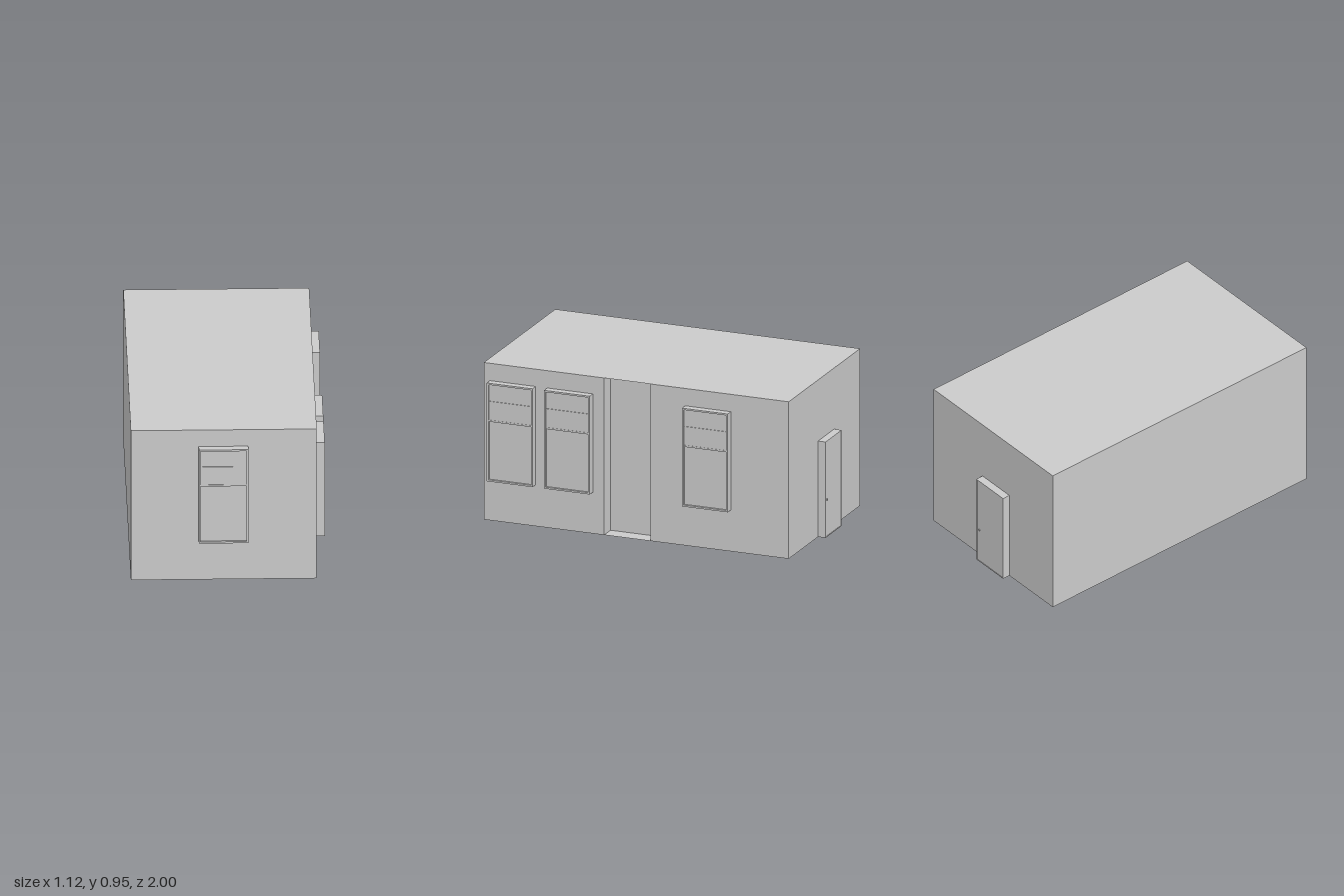
import * as THREE from 'three';

const grey = new THREE.MeshStandardMaterial({ color: 0xcccccc, flatShading: true });
const thin = new THREE.MeshStandardMaterial({ color: 0xcccccc, side: THREE.DoubleSide });

// House body extents
const X0 = -0.56, X1 = 0.51, Z = 0.95, H = 0.95;
const PORCH = { z0: -0.09, z1: 0.2, x: 0.415 };
const DEPTH = 0.047;

function add(parent, name, geometry, x = 0, y = 0, z = 0, material = grey) {
  const mesh = new THREE.Mesh(geometry, material);
  mesh.name = name;
  mesh.position.set(x, y, z);
  parent.add(mesh);
  return mesh;
}

// Rectangular frame standing on y = 0, centred on x, from z = 0 to depth
function frameGeometry(w, h, border, bottom, depth) {
  const shape = new THREE.Shape([
    [-w / 2, 0], [w / 2, 0], [w / 2, h], [-w / 2, h],
  ].map(([x, y]) => new THREE.Vector2(x, y)));
  const i = w / 2 - border;
  shape.holes.push(new THREE.Path([
    [-i, bottom], [-i, h - border], [i, h - border], [i, bottom],
  ].map(([x, y]) => new THREE.Vector2(x, y))));
  return new THREE.ExtrudeGeometry(shape, { depth, bevelEnabled: false });
}

// Sash window: thin frame, two upper panels and a deeper lower pane
function makeWindow(name) {
  const g = new THREE.Group();
  g.name = name;
  const w = 0.285, h = 0.595, b = 0.01, iw = w - 2 * b;
  add(g, 'windowFrame', frameGeometry(w, h, b, b, DEPTH));
  const panel = (part, y0, y1, d) =>
    add(g, part, new THREE.BoxGeometry(iw, y1 - y0, d), 0, (y0 + y1) / 2, d / 2);
  panel('lowerPane', b, 0.36, DEPTH - 0.014);
  panel('sashRail', 0.36, 0.37, DEPTH - 0.006);
  panel('middlePanel', 0.37, 0.483, DEPTH - 0.008);
  panel('panelGroove', 0.483, 0.487, DEPTH - 0.012);
  panel('upperPanel', 0.487, h - b, DEPTH - 0.008);
  return g;
}

// Door: shallow frame, leaf and a small round knob
function makeDoor() {
  const g = new THREE.Group();
  g.name = 'door';
  const w = 0.24, h = 0.58, b = 0.006;
  add(g, 'doorFrame', frameGeometry(w, h, b, 0.004, DEPTH));
  const d = DEPTH - 0.003;
  add(g, 'doorLeaf', new THREE.BoxGeometry(w - 2 * b, h - b - 0.004, d), 0, (h - b + 0.004) / 2, d / 2);
  add(g, 'doorKnob', new THREE.SphereGeometry(0.006, 12, 8), -0.097, 0.225, d);
  return g;
}

export function createModel() {
  const model = new THREE.Group();
  model.name = 'house';

  // Walls with an entrance recess cut into the side
  const plan = [
    [X0, Z], [X1, Z], [X1, PORCH.z1], [PORCH.x, PORCH.z1],
    [PORCH.x, PORCH.z0], [X1, PORCH.z0], [X1, -Z], [X0, -Z],
  ].map(([x, z]) => new THREE.Vector2(x, -z));
  const walls = new THREE.ExtrudeGeometry(new THREE.Shape(plan), { depth: H, bevelEnabled: false });
  add(model, 'walls', walls.rotateX(-Math.PI / 2));

  // Floor and ceiling of the recess
  for (const [name, y] of [['recessFloor', 0], ['recessCeiling', H]]) {
    const plane = new THREE.PlaneGeometry(X1 - PORCH.x, PORCH.z1 - PORCH.z0).rotateX(-Math.PI / 2);
    add(model, name, plane, (X1 + PORCH.x) / 2, y, (PORCH.z0 + PORCH.z1) / 2, thin);
  }

  // Windows
  const front = makeWindow('frontWindow');
  front.position.set(-0.027, 0.25, Z);
  model.add(front);
  [0.77, 0.413, -0.447].forEach((z, i) => {
    const side = makeWindow('sideWindow' + (i + 1));
    side.rotation.y = Math.PI / 2;
    side.position.set(X1, 0.25, z);
    model.add(side);
  });

  // Back door
  const door = makeDoor();
  door.rotation.y = Math.PI;
  door.position.set(-0.05, 0, -Z);
  model.add(door);

  return model;
}
